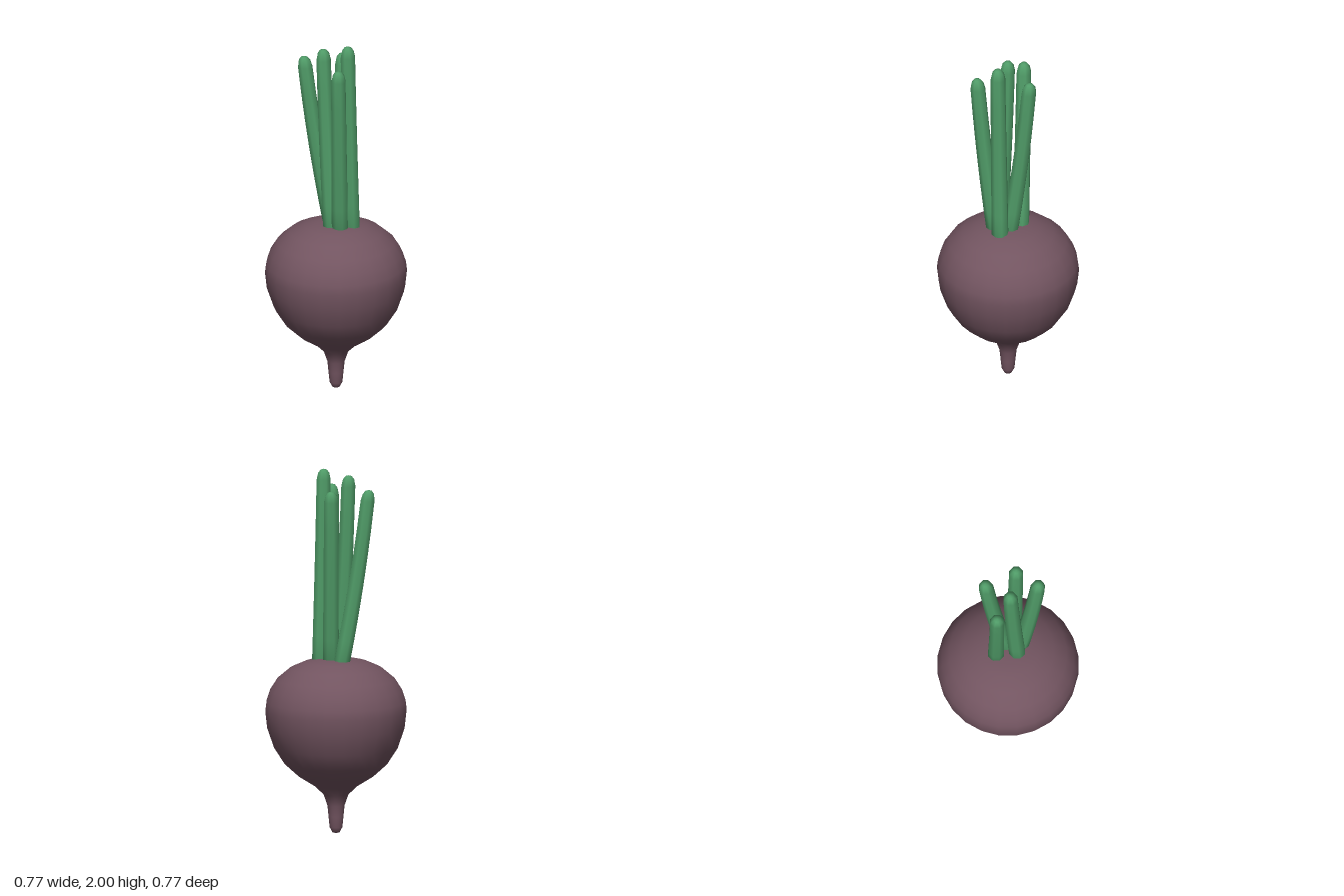
import * as THREE from 'three';
import { mergeVertices } from 'three/addons/utils/BufferGeometryUtils.js';

// Smooth, seamless revolved shape from [radius, height] pairs, bottom to top
function revolve(profile, sides, centre = () => [0, 0]) {
  const points = profile.map(([r, y]) => new THREE.Vector2(r, y));
  let geo = new THREE.LatheGeometry(points, sides);
  geo.deleteAttribute('uv');
  geo.deleteAttribute('normal');
  const pos = geo.attributes.position;
  for (let i = 0; i < pos.count; i++) {
    const [cx, cz] = centre(pos.getY(i));
    pos.setX(i, pos.getX(i) + cx);
    pos.setZ(i, pos.getZ(i) + cz);
  }
  geo = mergeVertices(geo, 1e-5);
  geo.computeVertexNormals();
  return geo;
}

export function createModel() {
  const group = new THREE.Group();
  const skin = new THREE.MeshStandardMaterial({ color: 0x725460 });
  skin.name = 'dusky purple skin';
  const green = new THREE.MeshStandardMaterial({ color: 0x509c68 });
  green.name = 'stem green';

  // Round root with its thin tail
  const root = new THREE.Mesh(revolve([
    [0, 0.005], [0.02, 0.012], [0.035, 0.04], [0.041, 0.1], [0.047, 0.16],
    [0.068, 0.22], [0.115, 0.265], [0.203, 0.32], [0.28, 0.39], [0.338, 0.48],
    [0.376, 0.59], [0.386, 0.68], [0.38, 0.73], [0.36, 0.79], [0.32, 0.853],
    [0.25, 0.912], [0.17, 0.947], [0.1, 0.963], [0, 0.965],
  ], 24), skin);
  root.name = 'root';
  group.add(root);

  // Leaning stems: base x, base z, tip x, tip z, tip height
  const stems = [
    [0.0, -0.07, -0.143, -0.122, 1.9],
    [0.03, 0.0, 0.07, -0.105, 1.9],
    [-0.038, 0.04, -0.068, -0.015, 1.97],
    [0.07, 0.06, 0.045, 0.067, 2.0],
    [0.0, 0.07, -0.04, 0.163, 1.9],
  ];
  const bottom = 0.92;
  stems.forEach(([bx, bz, tx, tz, top], i) => {
    const profile = [[0, bottom], [0.047, bottom]];
    for (let k = 1; k <= 6; k++) {
      profile.push([0.047 - 0.001 * k, bottom + (top - 0.06 - bottom) * k / 6]);
    }
    // Rounded tip
    profile.push([0.033, top - 0.024], [0.018, top - 0.005], [0, top]);
    // Lean that straightens towards the tip
    const centre = (y) => {
      const t = (y - bottom) / (top - bottom);
      const s = 1.3 * t - 0.3 * t * t;
      return [bx + (tx - bx) * s, bz + (tz - bz) * s];
    };
    const stem = new THREE.Mesh(revolve(profile, 8, centre), green);
    stem.name = 'stem' + (i + 1);
    group.add(stem);
  });
  return group;
}
